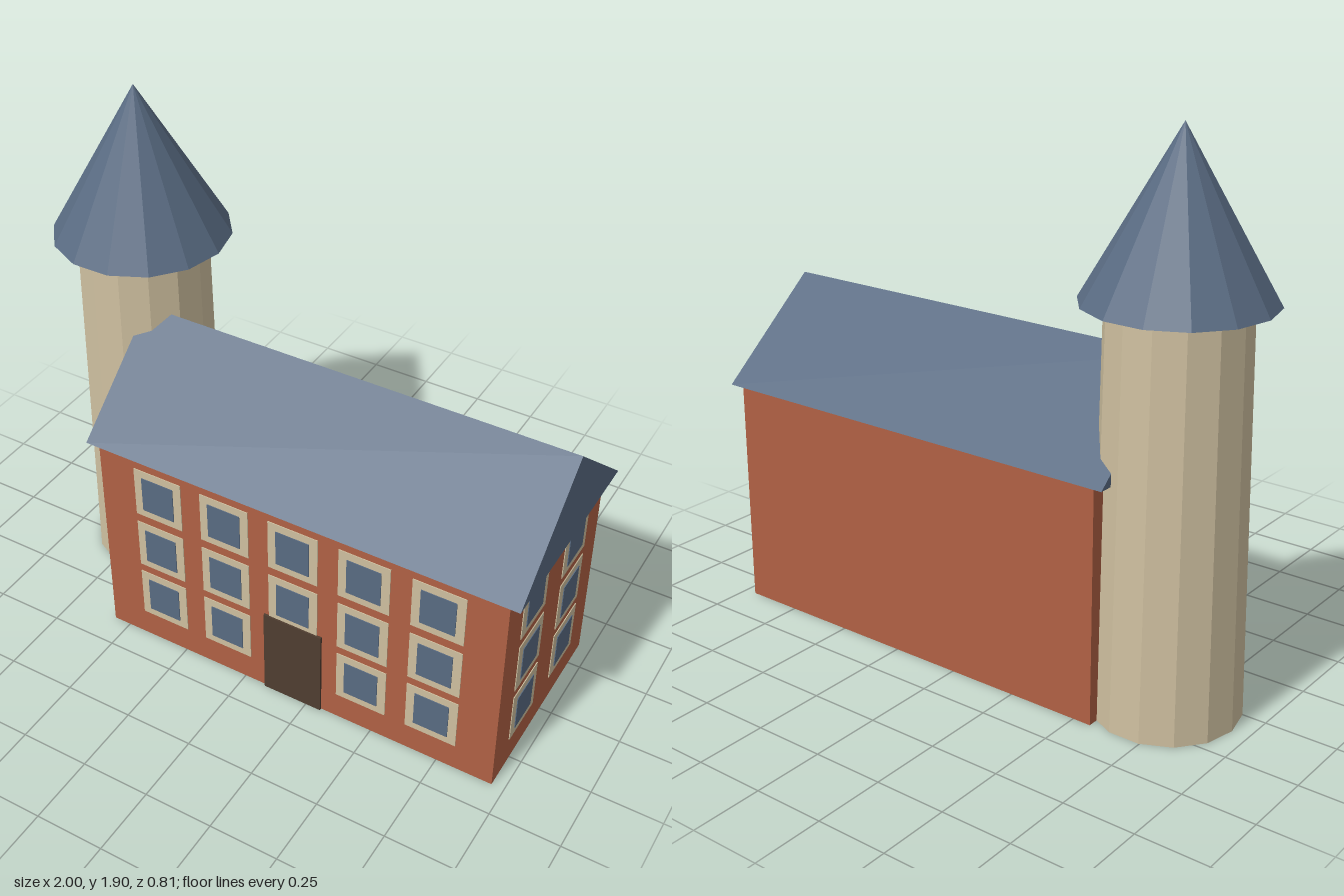
import * as THREE from 'three';

const material = (name, color) => {
  const m = new THREE.MeshStandardMaterial({ color, flatShading: true });
  m.name = name;
  return m;
};

export function createModel() {
  const brick = material('brick', 0xb06144);
  const stone = material('stone', 0xcfc0a0);
  const slate = material('slateBlue', 0x596b82);
  const wood = material('darkWood', 0x4f3d30);

  const model = new THREE.Group();
  model.name = 'houseWithTower';
  const add = (parent, name, geometry, mat, x, y, z) => {
    const mesh = new THREE.Mesh(geometry, mat);
    mesh.name = name;
    mesh.position.set(x, y, z);
    parent.add(mesh);
    return mesh;
  };

  // Main block
  const front = 0.386, right = 0.955, midZ = 0.017;
  add(model, 'walls', new THREE.BoxGeometry(1.52, 0.82, 0.738), brick, 0.195, 0.41, midZ);

  // Gabled roof: triangle in the z-y plane extruded along x
  const gable = new THREE.Shape([
    new THREE.Vector2(-0.387, 0), new THREE.Vector2(0.387, 0), new THREE.Vector2(0, 0.332)
  ]);
  const roofGeometry = new THREE.ExtrudeGeometry(gable, { depth: 1.6, bevelEnabled: false });
  roofGeometry.translate(0, 0, -0.8).rotateY(Math.PI / 2);
  add(model, 'roof', roofGeometry, slate, 0.195, 0.817, midZ);

  // Round tower with pointed roof
  const tower = new THREE.Group();
  tower.name = 'tower';
  tower.position.set(-0.692, 0, -0.107);
  tower.rotation.y = Math.PI / 2;
  model.add(tower);
  add(tower, 'towerWall', new THREE.CylinderGeometry(0.228, 0.248, 1.37, 14), stone, 0, 0.685, 0);
  add(tower, 'towerRoof', new THREE.ConeGeometry(0.308, 0.54, 14), slate, 0, 1.632, 0);

  // Windows: thin pane over a thin surround
  const frameGeometry = new THREE.BoxGeometry(0.187, 0.198, 0.006);
  const paneGeometry = new THREE.BoxGeometry(0.125, 0.139, 0.006);
  const addWindow = (x, y, z, turn) => {
    const win = new THREE.Group();
    win.name = 'window';
    win.position.set(x, y, z);
    win.rotation.y = turn;
    add(win, 'windowFrame', frameGeometry, stone, 0, 0, 0);
    add(win, 'windowPane', paneGeometry, slate, 0, 0, 0.003);
    model.add(win);
  };
  [0.206, 0.437, 0.671].forEach((y, row) => {
    for (let i = -2; i <= 2; i++) {
      if (row === 0 && i === 0) continue; // the door stands here
      addWindow(0.195 + i * 0.2635, y, front, 0);
    }
    for (const s of [-1, 1]) addWindow(right, y, midZ + s * 0.161, Math.PI / 2);
  });

  // Door
  add(model, 'door', new THREE.BoxGeometry(0.223, 0.347, 0.009), wood, 0.195, 0.1735, front + 0.0045);

  return model;
}
